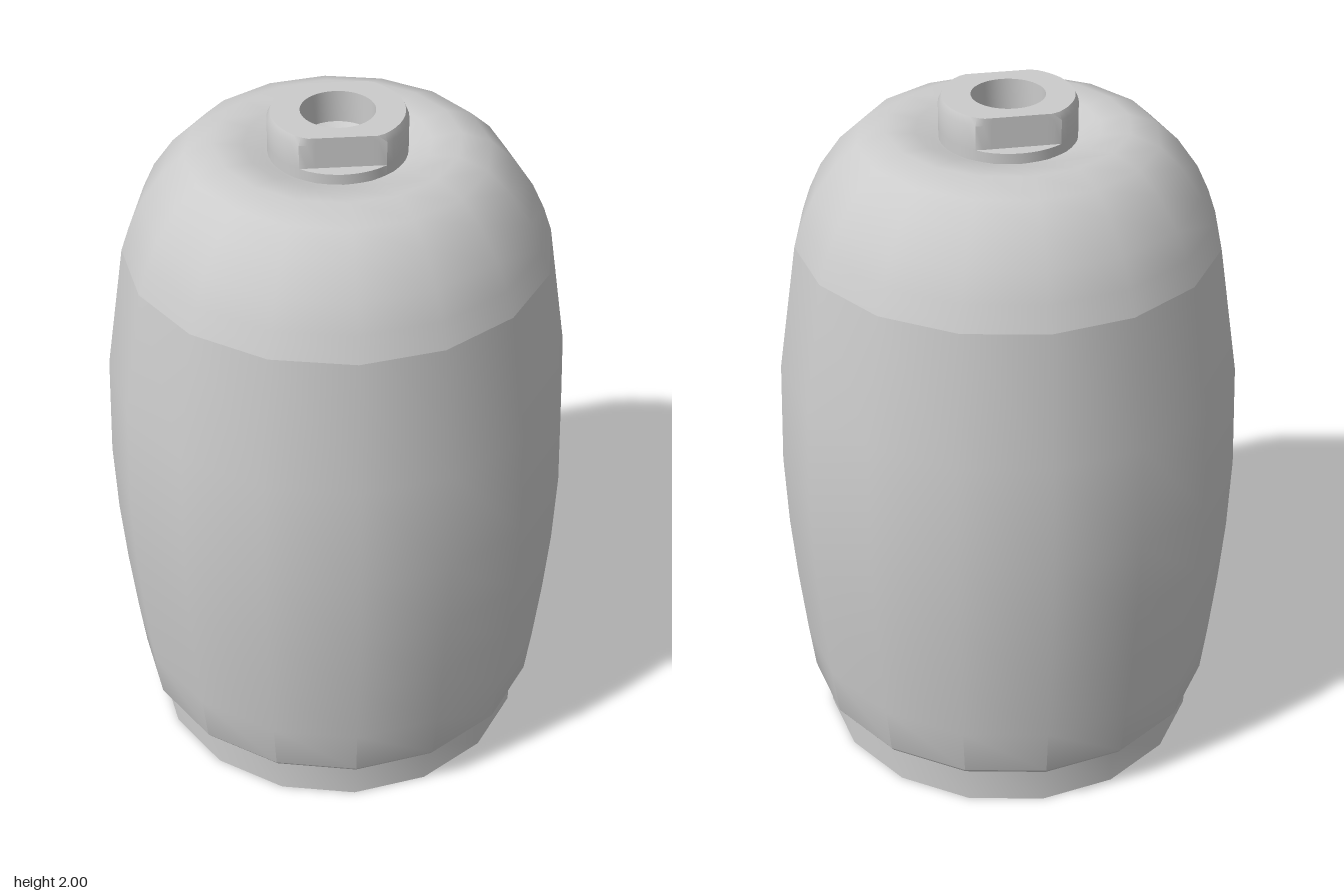
import * as THREE from 'three';
import { toCreasedNormals } from 'three/addons/utils/BufferGeometryUtils.js';

const material = new THREE.MeshStandardMaterial({ color: 0xcccccc });

// Spin a profile of [radius, height] pairs around the y axis
function lathe(profile, sides) {
  return new THREE.LatheGeometry(profile.map(([r, y]) => new THREE.Vector2(r, y)), sides);
}

function addPart(group, name, geometry) {
  const mesh = new THREE.Mesh(toCreasedNormals(geometry, 0.6), material);
  mesh.name = name;
  group.add(mesh);
}

export function createModel() {
  const group = new THREE.Group();
  group.name = 'canister';
  const SIDES = 16;

  // Recessed foot ring with a closed floor inside
  addPart(group, 'footRing', lathe([
    [0, 0.125], [0.525, 0.125], [0.525, 0], [0.562, 0], [0.562, 0.145],
  ], SIDES));

  // Barrel-shaped wall with a softened lower edge
  addPart(group, 'barrel', lathe([
    [0.55, 0.136], [0.595, 0.136], [0.605, 0.15], [0.622, 0.3], [0.641, 0.5],
    [0.655, 0.7], [0.661, 0.92], [0.648, 1.23], [0.589, 1.6],
  ], SIDES));

  // Rounded shoulder that dips slightly around the fitting
  addPart(group, 'shoulder', lathe([
    [0.589, 1.6], [0.565, 1.67], [0.53, 1.745], [0.47, 1.83], [0.41, 1.885],
    [0.33, 1.914], [0.25, 1.905], [0.2, 1.885], [0.15, 1.875],
  ], SIDES));

  // Top fitting with a drilled hole; the upper portion is cut to two flats
  const fitting = lathe([
    [0.187, 1.86], [0.187, 1.912], [0.187, 1.913], [0.187, 1.98],
    [0.178, 2], [0.1, 2], [0.1, 1.91], [0, 1.86],
  ], 48);
  const pos = fitting.attributes.position;
  for (let i = 0; i < pos.count; i++) {
    if (pos.getY(i) > 1.9125) pos.setZ(i, THREE.MathUtils.clamp(pos.getZ(i), -0.15, 0.15));
  }
  addPart(group, 'fitting', fitting);

  return group;
}
